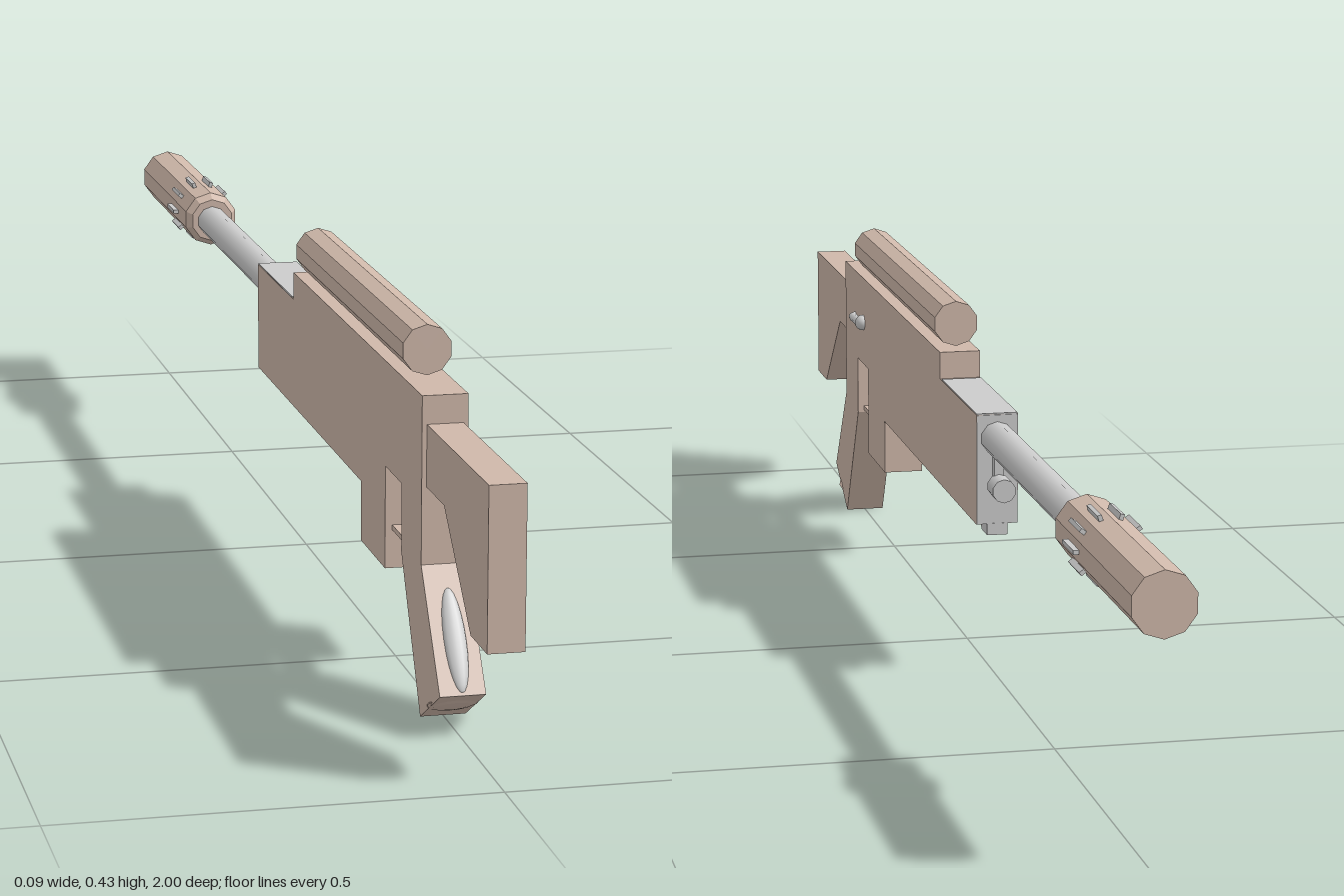
import * as THREE from 'three';

const tan = new THREE.MeshStandardMaterial({ color: 0xcfb8aa, flatShading: true });
const grey = new THREE.MeshStandardMaterial({ color: 0xcccccc, flatShading: true });
const greySmooth = new THREE.MeshStandardMaterial({ color: 0xcccccc });

export function createModel() {
  const model = new THREE.Group();

  const add = (name, geometry, material, x = 0, y = 0, z = 0) => {
    const mesh = new THREE.Mesh(geometry, material);
    mesh.name = name;
    mesh.position.set(x, y, z);
    model.add(mesh);
    return mesh;
  };

  // Side outline given as [z, y] points, extruded across x
  const slab = (name, points, halfWidth, material) => {
    const shape = new THREE.Shape(points.map(p => new THREE.Vector2(...p)));
    const geo = new THREE.ExtrudeGeometry(shape, { depth: halfWidth * 2, bevelEnabled: false });
    geo.translate(0, 0, -halfWidth).rotateY(-Math.PI / 2);
    return add(name, geo, material);
  };

  // Cylinder lying along z between two positions, with a corner at the top
  const rod = (name, r, z0, z1, y, sides, material, rBack = r) => {
    const geo = new THREE.CylinderGeometry(rBack, r, Math.abs(z1 - z0), sides);
    geo.rotateX(Math.PI / 2);
    return add(name, geo, material, 0, y, (z0 + z1) / 2);
  };

  // Receiver with magazine and angled grip in one outline
  slab('receiver', [
    [0.73, 0.375], [0.73, 0.18], [0.82, 0.053], [0.73, 0.002], [0.635, 0.17],
    [0.635, 0.25], [0.555, 0.25], [0.555, 0.127], [0.43, 0.127], [0.43, 0.2],
    [-0.18, 0.2], [-0.18, 0.34], [0.045, 0.34], [0.045, 0.375],
  ], 0.0265, tan);

  // Shoulder stock
  slab('stock', [
    [1, 0.342], [1, 0.157], [0.93, 0.157], [0.81, 0.27], [0.725, 0.27], [0.725, 0.342],
  ], 0.021, tan);

  // Grey covers on the front top and front end of the receiver
  add('receiverTopCover', new THREE.BoxGeometry(0.052, 0.002, 0.215), grey, 0, 0.3405, -0.0725);
  add('receiverEndCover', new THREE.BoxGeometry(0.052, 0.139, 0.002), grey, 0, 0.27, -0.1805);
  slab('frontLug', [[-0.13, 0.201], [-0.182, 0.201], [-0.182, 0.186], [-0.15, 0.186]], 0.013, grey);

  // Grip pad on the back strap and foot under the grip
  const pad = add('gripPad', new THREE.SphereGeometry(1, 16, 12), greySmooth, 0, 0.106, 0.782);
  pad.scale.set(0.013, 0.062, 0.007);
  pad.rotation.x = -0.616;
  const foot = add('gripFoot', new THREE.SphereGeometry(1, 12, 8), tan, 0, 0.03, 0.774);
  foot.scale.set(0.03, 0.006, 0.03);
  foot.rotation.x = -0.51;

  // Trigger guard and trigger
  add('triggerGuard', new THREE.BoxGeometry(0.036, 0.006, 0.09), tan, 0, 0.176, 0.596);
  slab('trigger', [[0.605, 0.252], [0.592, 0.252], [0.586, 0.205], [0.592, 0.2]], 0.004, grey);

  // Sight tube
  rod('sightTube', 0.0295, 0.07, 0.645, 0.407, 10, tan);

  // Barrel, short tube below it with its knob
  rod('barrel', 0.021, -0.65, -0.17, 0.31, 10, greySmooth);
  rod('lowerTube', 0.009, -0.2, -0.17, 0.25, 10, greySmooth);
  rod('lowerTubeKnob', 0.015, -0.222, -0.19, 0.251, 10, greySmooth);
  add('lowerTubeBracket', new THREE.BoxGeometry(0.012, 0.05, 0.012), grey, 0, 0.275, -0.186);

  // Muzzle sleeve with tapered rear collar and raised ribs
  rod('muzzleSleeve', 0.038, -1, -0.652, 0.311, 10, tan);
  rod('muzzleCollar', 0.038, -0.652, -0.64, 0.311, 10, tan, 0.03);
  for (let i = 0; i < 10; i++) {
    const a = (i * Math.PI) / 5;
    const rib = add('muzzleRib', new THREE.BoxGeometry(0.012, 0.005, 0.052), grey,
      0.037 * Math.cos(a), 0.311 + 0.037 * Math.sin(a), -0.74);
    rib.rotation.z = a;
  }

  // Bolt handle on the left side
  const path = new THREE.CatmullRomCurve3([
    new THREE.Vector3(0.02, 0.309, 0.655), new THREE.Vector3(0.03, 0.309, 0.65),
    new THREE.Vector3(0.031, 0.309, 0.62), new THREE.Vector3(0.031, 0.31, 0.585),
  ]);
  add('boltHandle', new THREE.TubeGeometry(path, 10, 0.006, 8), greySmooth);
  add('boltKnob', new THREE.SphereGeometry(0.011, 12, 8), greySmooth, 0.028, 0.311, 0.588);

  return model;
}
